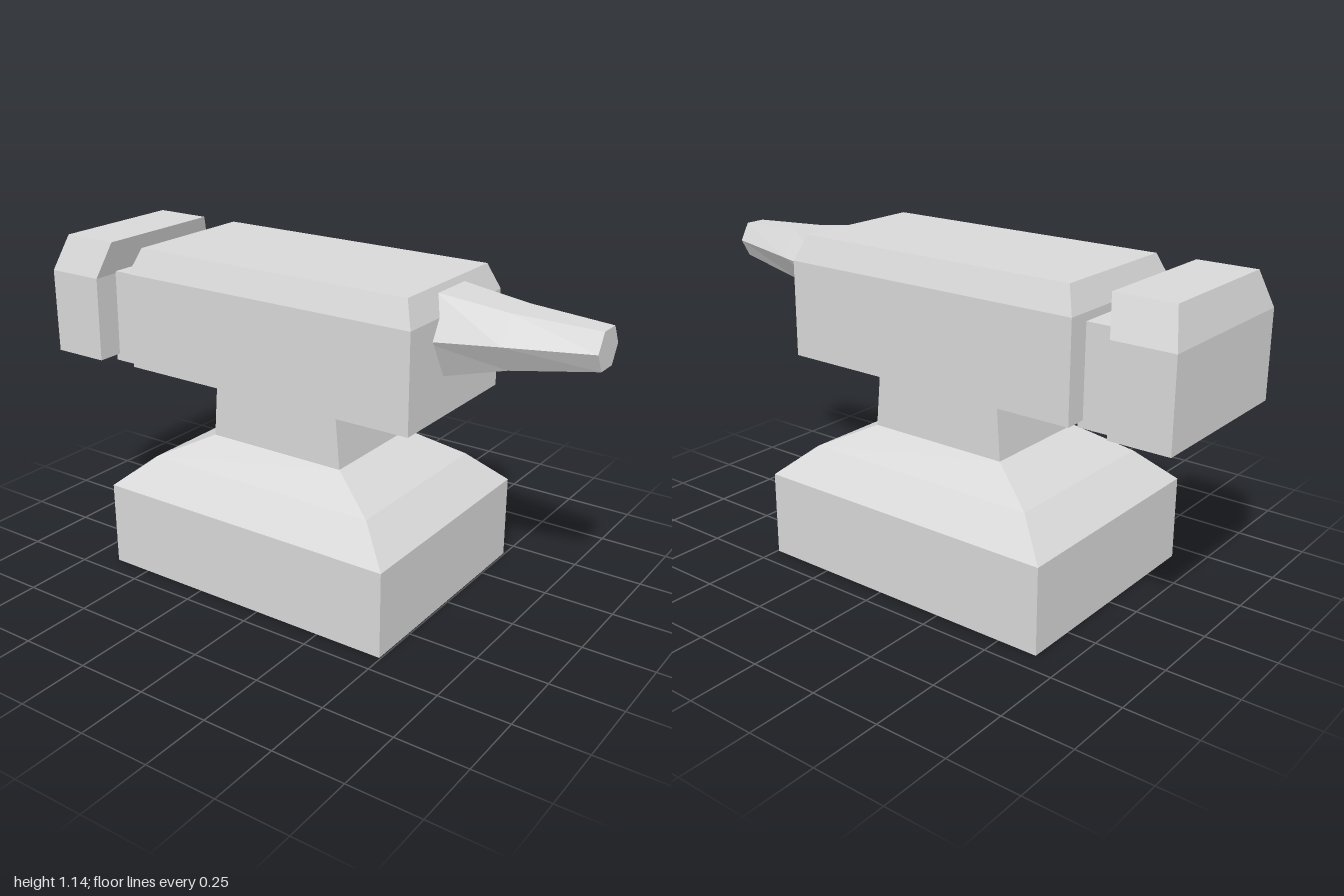
import * as THREE from 'three';

// Closed faceted solid through matching rings, each counter-clockwise seen from the last ring's end
function loft(rings) {
  const pos = [];
  const tri = (a, b, c) => pos.push(...a, ...b, ...c);
  const n = rings[0].length;
  for (let r = 0; r < rings.length - 1; r++) {
    for (let i = 0; i < n; i++) {
      const j = (i + 1) % n;
      const [a, b, c, d] = [rings[r][i], rings[r][j], rings[r + 1][j], rings[r + 1][i]];
      tri(a, b, c);
      tri(a, c, d);
    }
  }
  const first = rings[0], last = rings[rings.length - 1];
  for (let i = 1; i < n - 1; i++) {
    tri(first[0], first[i + 1], first[i]);
    tri(last[0], last[i], last[i + 1]);
  }
  const geo = new THREE.BufferGeometry();
  geo.setAttribute('position', new THREE.Float32BufferAttribute(pos, 3));
  geo.computeVertexNormals();
  return geo;
}

// Horizontal rectangle at height y, from x0 to x1, half depth d
const rect = (y, x0, x1, d) => [[x0, y, d], [x1, y, d], [x1, y, -d], [x0, y, -d]];

// Upright hexagon at x, with flat top and bottom
const hexagon = (x, y, halfHeight, halfWidth) =>
  [[0, 1], [-1, 0.52], [-1, -0.52], [0, -1], [1, -0.52], [1, 0.52]].map(
    ([v, w]) => [x, y + v * halfHeight, w * halfWidth]);

export function createModel() {
  const group = new THREE.Group();
  const steel = new THREE.MeshStandardMaterial({ color: 0xd8d8d8 });
  steel.name = 'greySteel';

  const add = (name, ...rings) => {
    const mesh = new THREE.Mesh(loft(rings), steel);
    mesh.name = name;
    group.add(mesh);
  };

  // Foot block with two-step sloping shoulders
  add('base',
    rect(0, -0.645, 0.495, 0.428),
    rect(0.304, -0.645, 0.495, 0.428),
    rect(0.412, -0.52, 0.372, 0.326),
    rect(0.5, -0.34, 0.192, 0.214));

  // Waist between base and body
  add('neck',
    rect(0.498, -0.34, 0.192, 0.214),
    rect(0.72, -0.322, 0.172, 0.213));

  // Main block with bevelled top
  add('body',
    rect(0.713, -0.645, 0.495, 0.287),
    rect(1.053, -0.645, 0.495, 0.287),
    rect(1.142, -0.61, 0.46, 0.25));

  // Slightly leaning link between body and heel
  add('connector',
    rect(0.687, -0.805, -0.627, 0.208),
    rect(1.025, -0.785, -0.627, 0.208));

  // Heel block whose top leans towards the body
  add('heel',
    rect(0.713, -1, -0.79, 0.303),
    rect(1.017, -1, -0.785, 0.303),
    rect(1.142, -0.965, -0.753, 0.25));

  // Six-sided tapering horn
  add('horn',
    hexagon(0.46, 0.982, 0.139, 0.159),
    hexagon(0.71, 1.001, 0.091, 0.124),
    hexagon(0.998, 1.018, 0.062, 0.073));

  return group;
}
